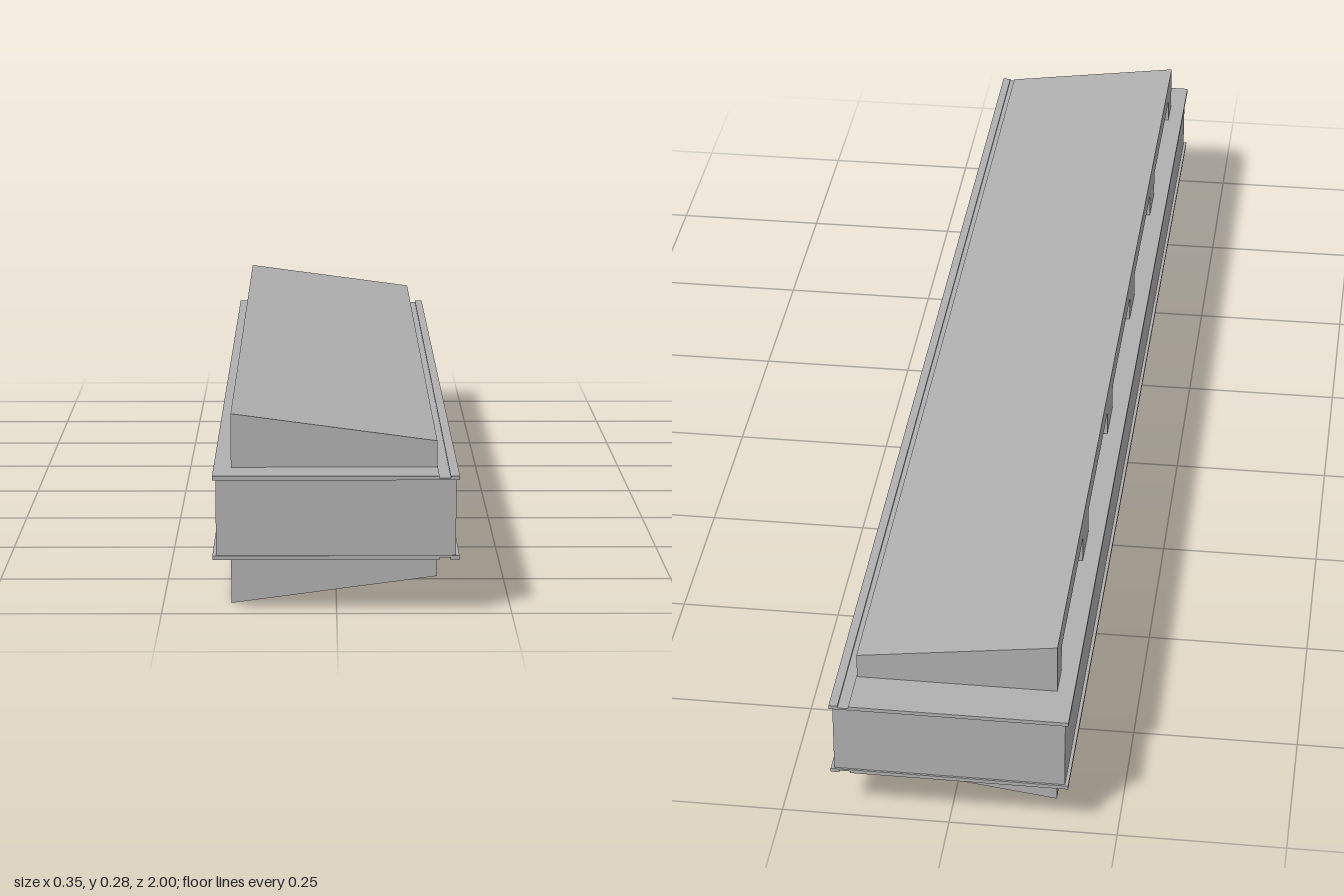
import * as THREE from 'three';

const MID = 0.1385; // height of the horizontal symmetry plane

export function createModel() {
  const model = new THREE.Group();
  model.name = 'connectorBlock';
  const grey = new THREE.MeshStandardMaterial({ color: 0xb0b0b0 });

  const add = (parent, name, geometry) => {
    const mesh = new THREE.Mesh(geometry, grey);
    mesh.name = name;
    parent.add(mesh);
    return mesh;
  };
  // Box given by its limits on each axis
  const box = (parent, name, x0, x1, y0, y1, z0, z1) =>
    add(parent, name, new THREE.BoxGeometry(x1 - x0, y1 - y0, z1 - z0)
      .translate((x0 + x1) / 2, (y0 + y1) / 2, (z0 + z1) / 2));
  // Cross-section in x and y, swept along z
  const sweep = (parent, name, points, z0, z1) => {
    const shape = new THREE.Shape(points.map(([x, y]) => new THREE.Vector2(x, y)));
    const geometry = new THREE.ExtrudeGeometry(shape, { depth: z1 - z0, bevelEnabled: false });
    return add(parent, name, geometry.translate(0, 0, z0));
  };

  // One half of the casing, measured up from the symmetry plane
  const createCover = (name) => {
    const half = new THREE.Group();
    half.name = name;
    const base = 0.0595, tall = MID, low = 0.099;
    const xB = -0.152, xF = 0.145, zE = 0.925, t = 0.01;

    // Flange plate with a shallow groove and a raised front lip
    sweep(half, 'flangePlate', [
      [-0.177, 0.0545], [0.175, 0.0545], [0.175, 0.0605], [0.162, 0.0605],
      [0.162, 0.0575], [0.146, 0.0575], [0.146, 0.0605], [-0.177, 0.0605],
    ], -1, 1);

    // Sloping roof, end walls and front wall of the hollow wedge
    sweep(half, 'wedgeRoof', [[xB, tall - t], [xF, low - t], [xF, low], [xB, tall]], -zE, zE);
    for (const z of [-zE, zE - t]) {
      sweep(half, 'wedgeEnd', [[xB, base], [xF, base], [xF, low - t], [xB, tall - t]], z, z + t);
    }
    box(half, 'wedgeFront', xF - t, xF, 0.057, low - t, -zE + t, zE - t);

    // Back wall: solid upper strip on tabs, leaving five slots
    const slotTop = 0.102, slot = 0.283, tab = 0.081;
    box(half, 'wedgeBackStrip', xB, xB + t, slotTop, tall - t, -zE, zE);
    const first = -(5 * slot + 4 * tab) / 2;
    for (let i = 0; i <= 5; i++) {
      const end = first + i * (slot + tab);
      const z0 = i === 0 ? -zE : end - tab;
      const z1 = i === 5 ? zE : end;
      box(half, 'wedgeBackTab', xB, xB + t, base, slotTop, z0, z1);
    }
    half.position.y = MID;
    model.add(half);
    return half;
  };
  createCover('upperCover');
  createCover('lowerCover').rotation.x = Math.PI;

  // Body: back web and solid end blocks
  const y0 = 0.084, y1 = 0.193, zCells = 0.82;
  box(model, 'backWeb', -0.172, -0.16, y0, y1, -1 + 0.003, 1 - 0.003);
  for (const s of [-1, 1]) {
    const a = s * zCells, b = s * 0.997;
    box(model, 'endBlock', -0.16, 0.17, y0, y1, Math.min(a, b), Math.max(a, b));
  }

  // Two rows of twenty open cells
  const count = 20, pitch = 2 * zCells / count, wall = 0.009, face = 0.165;
  box(model, 'rowDivider', -0.16, face, MID - wall / 2, MID + wall / 2, -zCells, zCells);
  box(model, 'cellFloor', -0.16, face, y0, y0 + 0.006, -zCells, zCells);
  box(model, 'cellCeiling', -0.16, face, y1 - 0.006, y1, -zCells, zCells);
  for (let i = 0; i <= count; i++) {
    const z = -zCells + i * pitch;
    box(model, 'cellDivider', -0.16, face, y0, y1, z - wall / 2, z + wall / 2);
  }

  // Small catches through both plates at every second cell
  for (let i = 0; i < count; i += 2) {
    const z = -zCells + (i + 0.5) * pitch;
    box(model, 'upperCatch', -0.125, -0.1, 0.18, 0.207, z - 0.03, z + 0.03);
    box(model, 'lowerCatch', -0.125, -0.1, 0.07, 0.097, z - 0.03, z + 0.03);
  }
  return model;
}
